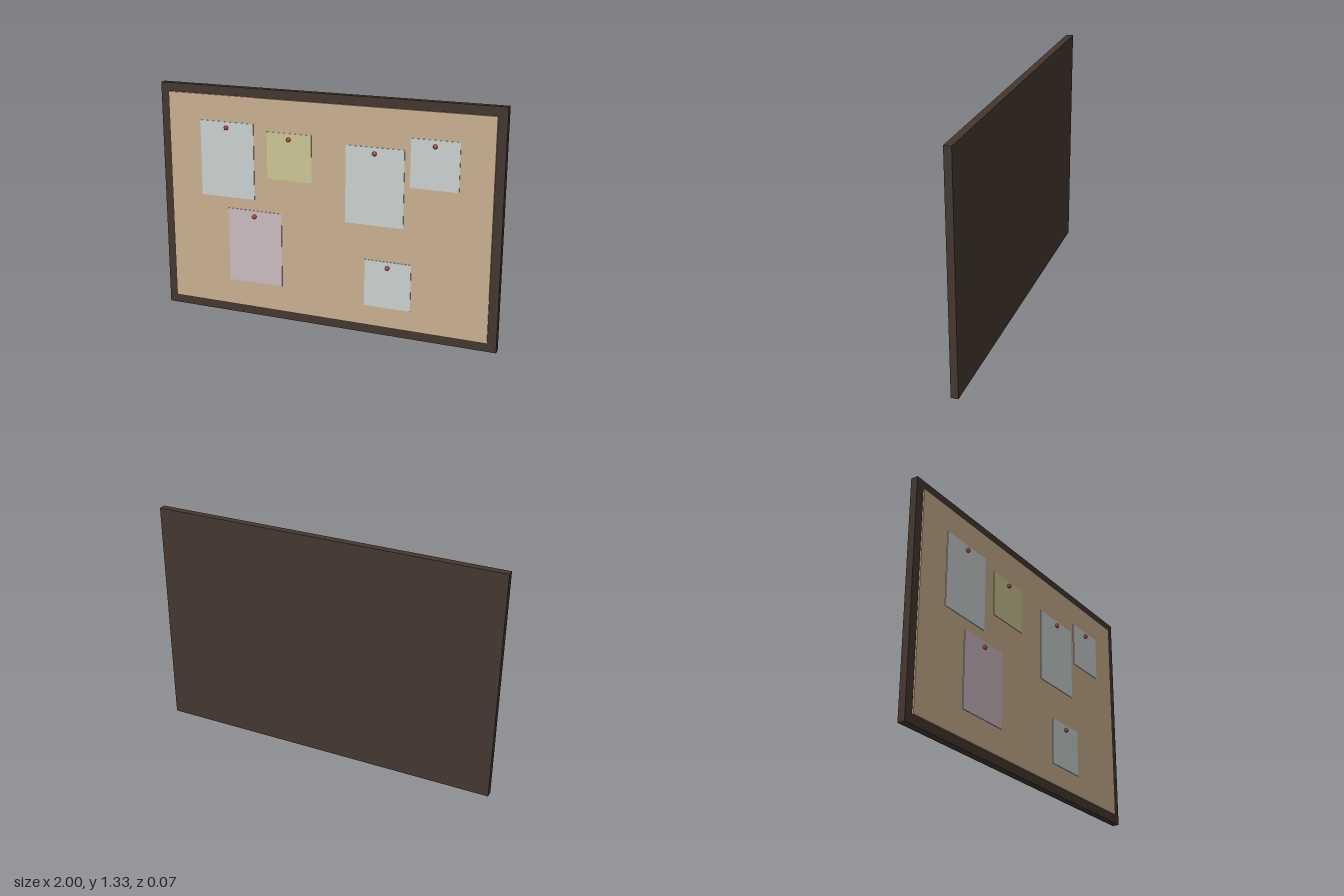
import * as THREE from 'three';

export function createModel() {
  const board = new THREE.Group();
  board.name = 'pinBoard';

  const material = (name, color) => {
    const m = new THREE.MeshStandardMaterial({ color });
    m.name = name;
    return m;
  };
  const wood = material('dark wood', 0x45372f);
  const cork = material('cork', 0xc9af90);
  const white = material('white paper', 0xcad0d0);
  const yellow = material('yellow paper', 0xcdc695);
  const lilac = material('lilac paper', 0xcdbbc2);
  const red = material('red pin', 0xb8504c);

  const add = (name, geometry, mat, x, y, z) => {
    const mesh = new THREE.Mesh(geometry, mat);
    mesh.name = name;
    mesh.position.set(x, y, z);
    board.add(mesh);
  };

  // Solid backing that shows as the frame, with the cork sheet on its face
  add('frame', new THREE.BoxGeometry(2, 1.333, 0.041), wood, 0, 0.6665, -0.0145);
  add('corkSheet', new THREE.BoxGeometry(1.9, 1.233, 0.01), cork, 0, 0.6665, 0.009);

  // Notes: centre x, top y, width, height, paper
  const notes = [
    [-0.583, 1.135, 0.333, 0.435, white],
    [-0.2, 1.1, 0.267, 0.267, yellow],
    [0.3, 1.067, 0.333, 0.433, white],
    [0.633, 1.135, 0.267, 0.268, white],
    [-0.417, 0.635, 0.333, 0.433, lilac],
    [0.383, 0.435, 0.267, 0.268, white],
  ];
  const pinHead = new THREE.SphereGeometry(0.0125, 16, 12);
  for (const [x, top, w, h, paper] of notes) {
    add('note', new THREE.BoxGeometry(w, h, 0.004), paper, x, top - h / 2, 0.0155);
    add('pin', pinHead, red, x, top - 0.033, 0.0235);
  }

  return board;
}
